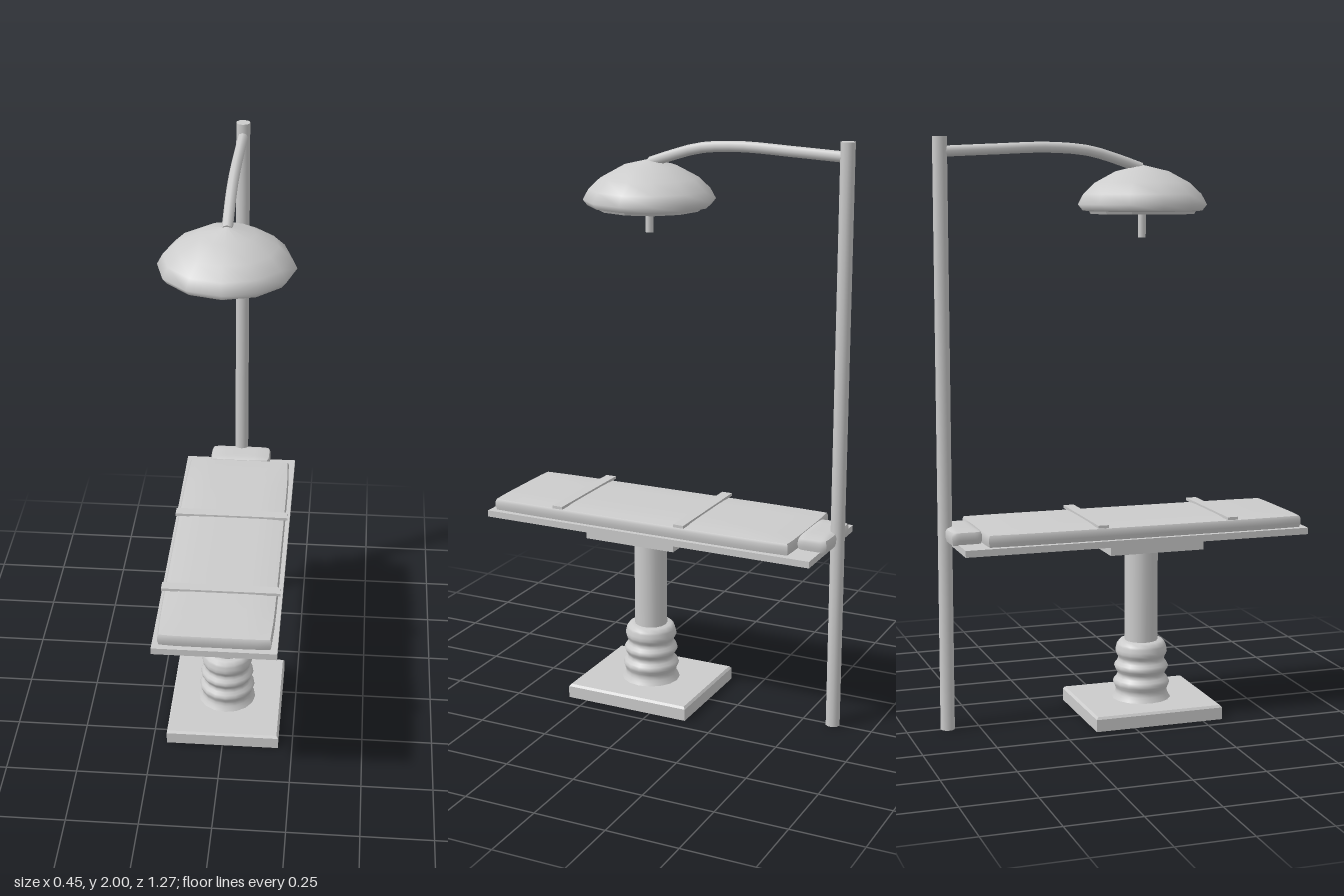
import * as THREE from 'three';

export function createModel() {
  const root = new THREE.Group();
  const grey = new THREE.MeshStandardMaterial({ color: 0xcccccc });
  grey.name = 'pale grey';
  const greySheet = new THREE.MeshStandardMaterial({ color: 0xcccccc, side: THREE.DoubleSide });
  greySheet.name = 'pale grey sheet';
  const axisZ = 0.092; // pedestal and lamp centre

  const add = (name, geo, x, y, z, mat = grey) => {
    const m = new THREE.Mesh(geo, mat);
    m.name = name;
    m.position.set(x, y, z);
    root.add(m);
    return m;
  };
  // box given by its extents
  const slab = (name, hx, y0, y1, z0, z1) =>
    add(name, new THREE.BoxGeometry(hx * 2, y1 - y0, z1 - z0), 0, (y0 + y1) / 2, (z0 + z1) / 2);
  const profile = pts => pts.map(p => new THREE.Vector2(p[0], p[1]));

  // padded block: top eases down to its edges, corners drawn in slightly
  const cushion = (name, hx, y0, y1, z0, z1, drop) => {
    const h = y1 - y0, d = z1 - z0;
    const g = new THREE.BoxGeometry(hx * 2, h, d, 8, 3, 12);
    const p = g.attributes.position;
    for (let i = 0; i < p.count; i++) {
      const u = p.getX(i) / hx, v = p.getZ(i) / (d / 2), t = p.getY(i) / (h / 2);
      if (t > 0.9) p.setY(i, h / 2 - drop * Math.max(u ** 6, v ** 6));
      const pull = Math.abs(t) > 0.9 ? 0.004 : 0;
      p.setX(i, u * (hx - pull - 0.006 * v ** 6));
      p.setZ(i, v * (d / 2 - pull - 0.004 * u ** 6));
    }
    g.computeVertexNormals();
    add(name, g, 0, (y0 + y1) / 2, (z0 + z1) / 2);
  };

  // hollow square foot, open below
  const r = Math.SQRT2;
  const foot = new THREE.LatheGeometry(
    profile([[r, 0], [r, 0.042], [r * 0.97, 0.05], [0, 0.05]]), 4, Math.PI / 4).toNonIndexed();
  foot.scale(0.2, 1, 0.229);
  foot.computeVertexNormals();
  add('footPlate', foot, 0, 0, axisZ, greySheet);

  // bellows and column
  const bellows = new THREE.SplineCurve(profile([
    [0.103, 0.05], [0.09, 0.078], [0.1, 0.108], [0.083, 0.135], [0.096, 0.163],
    [0.081, 0.19], [0.091, 0.215], [0.085, 0.245]])).getPoints(21);
  add('bellows', new THREE.LatheGeometry(
    [...bellows, ...profile([[0.075, 0.256], [0.055, 0.257]])], 16), 0, 0, axisZ);
  add('column', new THREE.CylinderGeometry(0.058, 0.058, 0.36, 16), 0, 0.425, axisZ);

  // table top
  slab('supportPlate', 0.166, 0.6, 0.637, axisZ - 0.168, axisZ + 0.168);
  slab('tableBoard', 0.206, 0.637, 0.66, -0.588, 0.636);
  cushion('mattress', 0.192, 0.658, 0.707, -0.508, 0.62, 0.007);
  cushion('headrest', 0.112, 0.658, 0.706, -0.613, -0.503, 0.006);
  for (const z of [0.355, -0.112]) slab('strap', 0.201, 0.704, 0.714, z - 0.019, z + 0.019);

  // lamp post and curved arm
  add('post', new THREE.CylinderGeometry(0.025, 0.025, 2, 10), 0, 1, -0.609);
  const path = new THREE.CatmullRomCurve3([
    [-0.605, 1.951], [-0.42, 1.96], [-0.24, 1.967], [-0.1, 1.957], [0, 1.93], [0.088, 1.9]
  ].map(([z, y]) => new THREE.Vector3(0, y, z)));
  add('lampArm', new THREE.TubeGeometry(path, 14, 0.018, 8, false), 0, 0, 0);
  const cap = add('lampArmEnd', new THREE.CircleGeometry(0.018, 8), 0, 1.9, 0.088);
  cap.rotation.x = 0.3;

  // lamp dome, with a flat stepped underside
  add('lampDome', new THREE.LatheGeometry(profile([
    [0.208, 1.757], [0.224, 1.777], [0.205, 1.812], [0.165, 1.85], [0.092, 1.889], [0, 1.911]]), 12),
    0, 0, axisZ);
  const under = new THREE.LatheGeometry(profile([
    [0, 1.752], [0.127, 1.752], [0.127, 1.745], [0.18, 1.745], [0.185, 1.754], [0.208, 1.757]]), 12).toNonIndexed();
  under.computeVertexNormals();
  add('lampUnderside', under, 0, 0, axisZ);
  add('lampHandle', new THREE.CylinderGeometry(0.014, 0.014, 0.09, 8), 0, 1.71, axisZ);

  return root;
}
